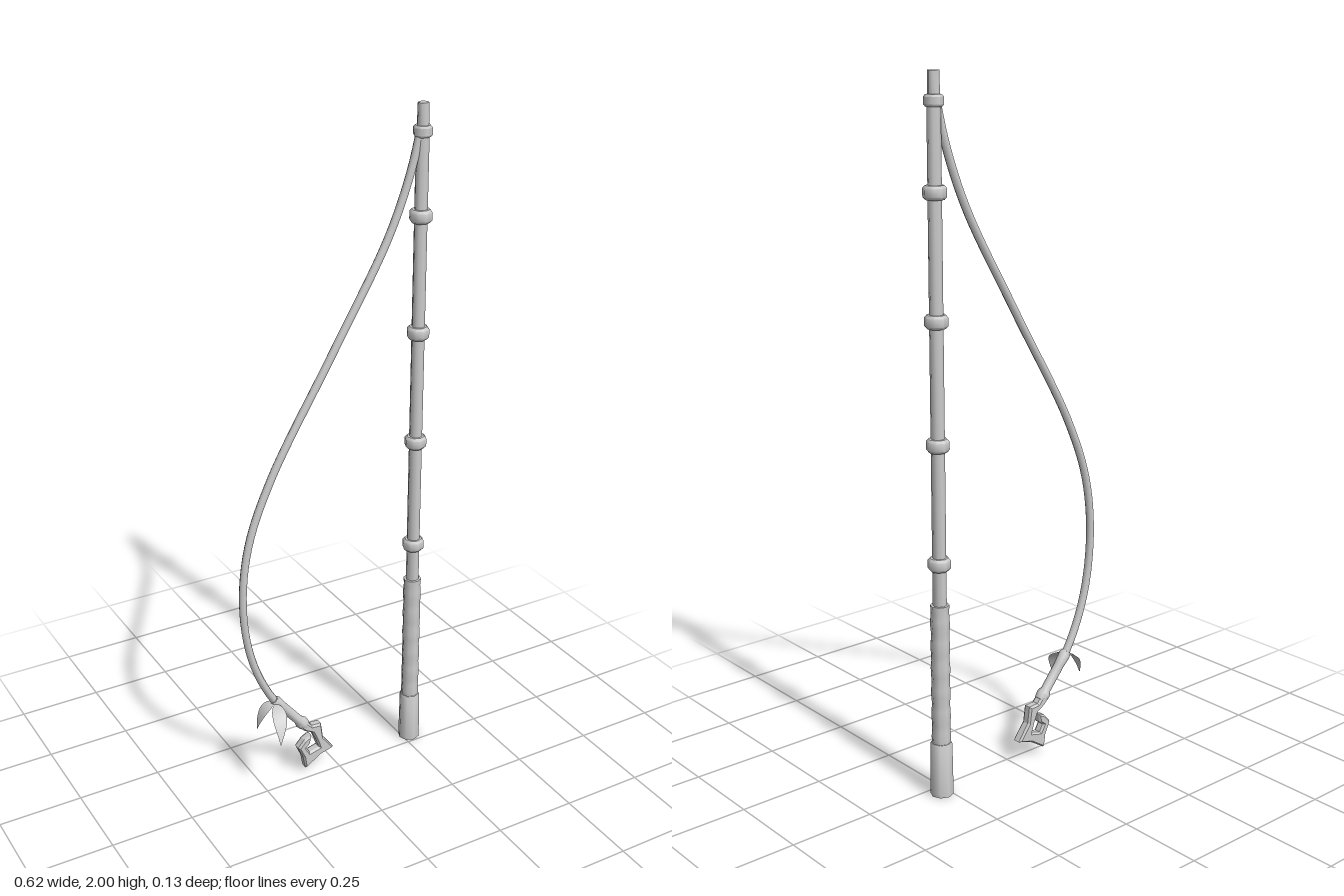
import * as THREE from 'three';
import { toCreasedNormals } from 'three/addons/utils/BufferGeometryUtils.js';

const material = new THREE.MeshStandardMaterial({ color: 0xcccccc });
const thinMaterial = new THREE.MeshStandardMaterial({ color: 0xcccccc, side: THREE.DoubleSide });
const POLE_X = 0.273, POLE_Z = -0.035;
const v = (x, y, z) => new THREE.Vector3(x, y, z);

function addMesh(parent, name, geometry, mat = material) {
  const mesh = new THREE.Mesh(geometry, mat);
  mesh.name = name;
  parent.add(mesh);
  return mesh;
}

// Eight-sided turned part from [radius, height] pairs, closed at both ends
function turned(profile) {
  const pts = [[0, profile[0][1]], ...profile, [0, profile.at(-1)[1]]];
  return toCreasedNormals(new THREE.LatheGeometry(pts.map(p => new THREE.Vector2(...p)), 8), 0.85);
}

// Pointed leaf: strip swept along a drooping curve, widest before the middle
function leafGeometry(base, bend, tip, across, width) {
  const curve = new THREE.QuadraticBezierCurve3(base, bend, tip);
  const rows = 10, pos = [], index = [];
  for (let i = 0; i <= rows; i++) {
    const t = i / rows, c = curve.getPoint(t);
    const half = width / 2 * (0.12 * (1 - t) + 0.95 * Math.sin(Math.PI * Math.pow(t, 0.85)));
    for (const s of [-1, 0, 1]) {
      const p = c.clone().addScaledVector(across, s * half);
      pos.push(p.x, p.y + (s === 0 ? 0.003 * Math.sin(Math.PI * t) : 0), p.z);
    }
    if (i < rows) for (let j = 0; j < 2; j++) {
      const a = i * 3 + j;
      index.push(a, a + 1, a + 3, a + 1, a + 4, a + 3);
    }
  }
  const g = new THREE.BufferGeometry();
  g.setAttribute('position', new THREE.Float32BufferAttribute(pos, 3));
  g.setIndex(index);
  g.computeVertexNormals();
  return g;
}

export function createModel() {
  const model = new THREE.Group();
  model.name = 'fishingPole';

  // Pole with butt, wrapped grip, shaft and joint rings
  const pole = new THREE.Group();
  pole.name = 'pole';
  pole.position.set(POLE_X, 0, POLE_Z);
  model.add(pole);
  addMesh(pole, 'butt', turned([[0.033, 0], [0.033, 0.012], [0.031, 0.155], [0.029, 0.16]]));
  const grip = [];
  for (let i = 0; i <= 20; i++) {
    grip.push([0.0265 + 0.0012 * Math.sin(i * 1.9), 0.155 + i * 0.0208]);
  }
  addMesh(pole, 'grip', turned(grip));
  addMesh(pole, 'shaft', turned([[0.0195, 0.55], [0.0185, 1.93]]));
  addMesh(pole, 'tip', turned([[0.017, 1.92], [0.0155, 2]]));
  [[0.69, 0.032], [1.025, 0.032], [1.36, 0.032], [1.695, 0.032], [1.925, 0.027]].forEach(([y, r], i) => {
    const h = r * 0.58;
    const ring = addMesh(pole, `jointRing${i + 1}`,
      turned([[r * 0.8, -h], [r, -h * 0.6], [r, h * 0.6], [r * 0.8, h]]));
    ring.position.y = y;
  });

  // Line hanging from the tip in a long S-curve
  const lineCurve = new THREE.CatmullRomCurve3([
    v(0.268, 1.94, -0.034), v(0.235, 1.81, -0.035), v(0.17, 1.645, -0.036), v(0, 1.35, -0.037),
    v(-0.2, 1.01, -0.037), v(-0.275, 0.82, -0.035), v(-0.298, 0.63, -0.031),
    v(-0.272, 0.445, -0.03), v(-0.2, 0.285, -0.03), v(-0.11, 0.18, -0.03),
  ]);
  addMesh(model, 'line', new THREE.TubeGeometry(lineCurve, 64, 0.0115, 8));

  // Thickened end of the line above the hook
  const from = v(-0.208, 0.298, -0.03), to = v(-0.105, 0.172, -0.03);
  const length = from.distanceTo(to);
  const sleeve = addMesh(model, 'lineSleeve',
    turned([[0.014, 0], [0.0175, 0.012], [0.015, 0.045], [0.0145, length - 0.035], [0.02, length - 0.02], [0.018, length]]));
  sleeve.position.copy(from);
  sleeve.quaternion.setFromUnitVectors(v(0, 1, 0), to.clone().sub(from).normalize());

  // Angular carved hook with bevelled edges
  const outline = [
    [-0.128, 0.178], [-0.108, 0.193], [-0.085, 0.168], [-0.054, 0.166], [-0.047, 0.115], [-0.012, 0.066],
    [-0.058, 0.053], [-0.109, 0.021], [-0.116, 0.062], [-0.133, 0.1], [-0.112, 0.124], [-0.088, 0.134],
    [-0.092, 0.106], [-0.106, 0.095], [-0.094, 0.074], [-0.062, 0.082], [-0.071, 0.111], [-0.084, 0.142], [-0.112, 0.158],
  ];
  const hook = new THREE.ExtrudeGeometry(new THREE.Shape(outline.map(p => new THREE.Vector2(...p))), {
    depth: 0.018, bevelEnabled: true, bevelThickness: 0.007, bevelSize: 0.005, bevelOffset: -0.005, bevelSegments: 1,
  });
  hook.translate(0, 0, -0.039);
  addMesh(model, 'hook', hook);

  // Two drooping leaves where the line thickens
  addMesh(model, 'frontLeaf', leafGeometry(v(-0.206, 0.288, -0.022), v(-0.214, 0.285, 0.035),
    v(-0.236, 0.2, 0.066), v(0.96, 0, 0.28), 0.042), thinMaterial);
  addMesh(model, 'sideLeaf', leafGeometry(v(-0.2, 0.29, -0.03), v(-0.252, 0.29, -0.03),
    v(-0.268, 0.212, -0.026), v(0, 0, 1), 0.042), thinMaterial);

  return model;
}
